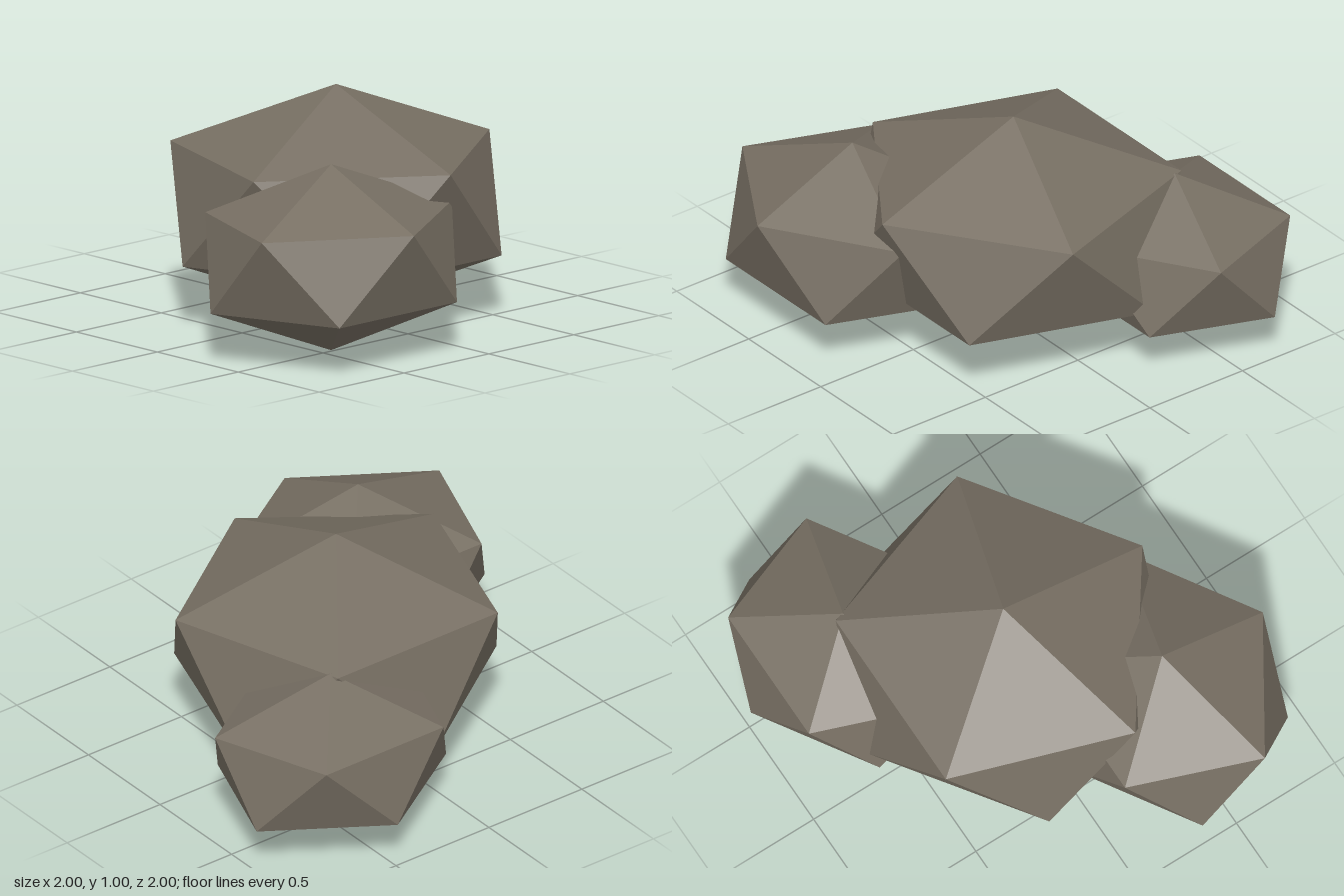
import * as THREE from 'three';

export function createModel() {
  const group = new THREE.Group();
  group.name = 'rockCluster';
  const stone = new THREE.MeshStandardMaterial({ color: 0x766e62, flatShading: true });
  stone.name = 'stone';

  // Icosahedron standing on a corner, with an upper ring corner towards +x
  const tilt = -Math.atan(2 / (1 + Math.sqrt(5)));

  // Boulder resting on the ground, given its centre and half-sizes
  function addRock(name, x, z, rx, ry, rz) {
    const geometry = new THREE.IcosahedronGeometry(1, 0);
    geometry.rotateZ(tilt);
    geometry.scale(rx, ry, rz);
    geometry.computeVertexNormals();
    const rock = new THREE.Mesh(geometry, stone);
    rock.name = name;
    rock.position.set(x, ry, z);
    group.add(rock);
  }

  addRock('mainRock', 0, -0.053, 0.792, 0.5, 0.817);
  addRock('frontRock', 0.487, 0.44, 0.573, 0.408, 0.658);
  addRock('backRock', -0.53, -0.49, 0.525, 0.365, 0.599);
  return group;
}
